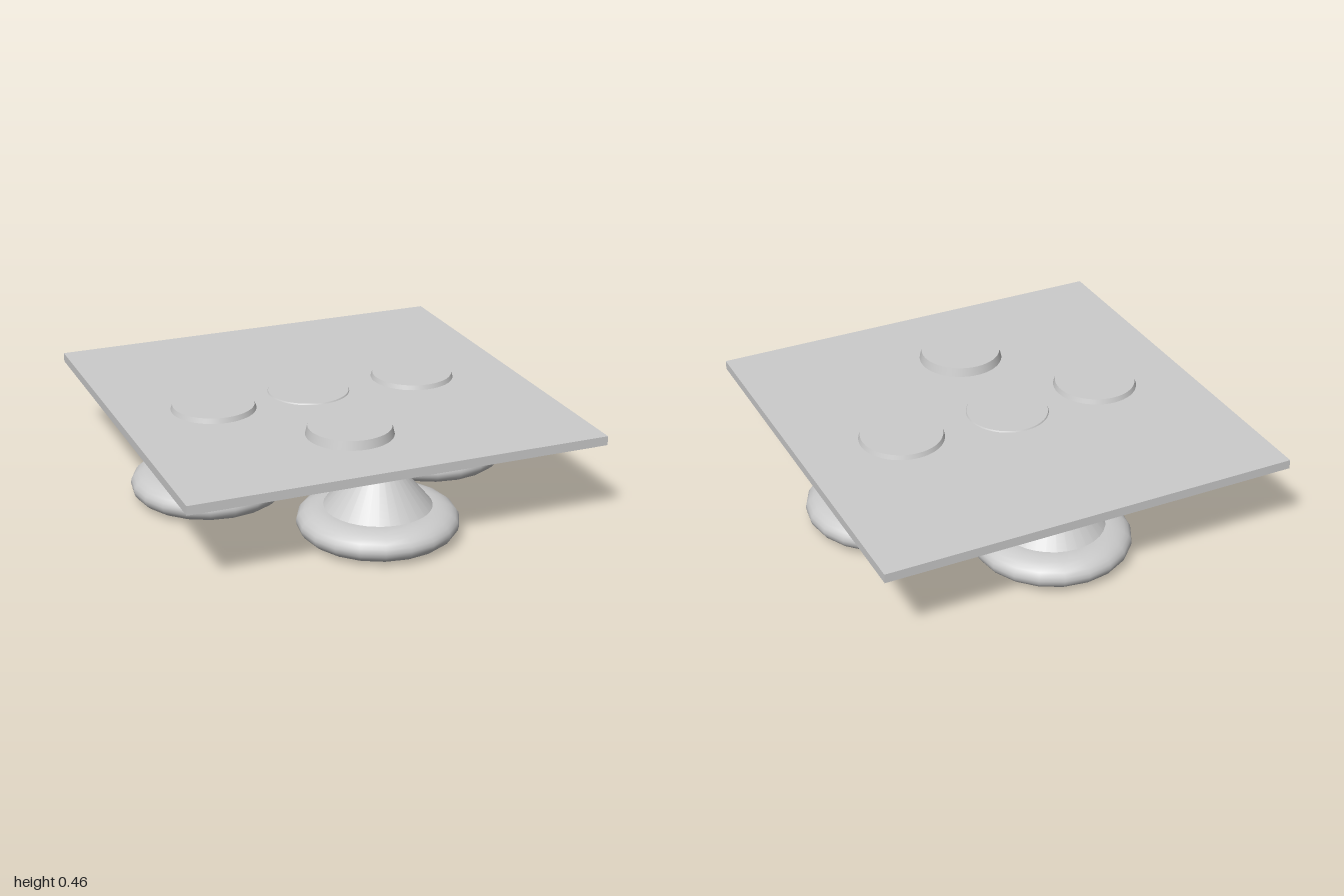
import * as THREE from 'three';

const material = new THREE.MeshStandardMaterial({ color: 0xcccccc });

function addMesh(parent, name, geometry, x, y, z) {
  const mesh = new THREE.Mesh(geometry, material);
  mesh.name = name;
  mesh.position.set(x, y, z);
  parent.add(mesh);
  return mesh;
}

// One foot: a flattened ring around the base of a truncated cone
function createFoot(x, z) {
  const foot = new THREE.Group();
  foot.name = 'foot';
  foot.position.set(x, 0, z);

  const ring = new THREE.TorusGeometry(0.242, 0.118, 24, 20);
  ring.rotateX(Math.PI / 2);
  ring.rotateY(Math.PI / 2);
  ring.scale(1, 0.072 / 0.118, 1);
  addMesh(foot, 'footRing', ring, 0, 0.072, 0);

  const bottom = 0.035, top = 0.39;
  const cone = new THREE.CylinderGeometry(0.035, 0.33, top - bottom, 32);
  addMesh(foot, 'footCone', cone, 0, (top + bottom) / 2, 0);
  return foot;
}

export function createModel() {
  const model = new THREE.Group();
  model.name = 'tray';

  // Flat square plate
  addMesh(model, 'plate', new THREE.BoxGeometry(1.93, 0.042, 1.93), 0, 0.401, -0.035);

  // Four feet in a diamond
  for (const [x, z] of [[0, 0.64], [0.56, -0.03], [-0.55, -0.03], [0, -0.6]]) {
    model.add(createFoot(x, z));
  }

  // Tapered discs sunk into the plate: x, z, height of the top
  const discs = [
    [-0.52, -0.035, 0.445],
    [-0.04, -0.08, 0.428],
    [0.485, -0.075, 0.443],
    [-0.065, 0.475, 0.463],
  ];
  for (const [x, z, top] of discs) {
    const bottom = 0.4;
    const disc = new THREE.CylinderGeometry(0.187, 0.202, top - bottom, 48);
    addMesh(model, 'disc', disc, x, (top + bottom) / 2, z);
  }
  return model;
}
